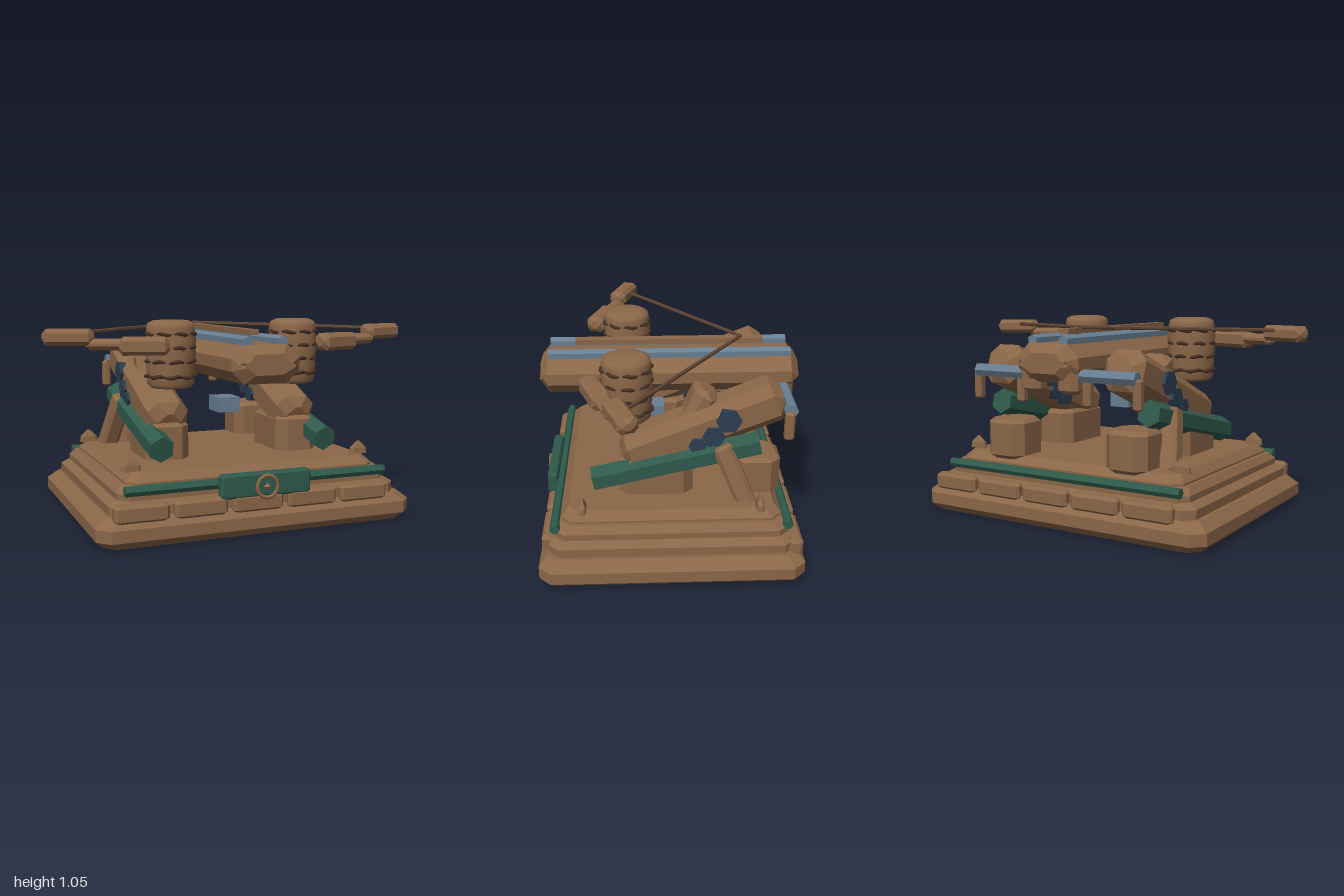
import * as THREE from 'three';

const mat = (name, color) => {
  const m = new THREE.MeshStandardMaterial({ color });
  m.name = name;
  return m;
};

const flat = (g) => {
  const f = g.index ? g.toNonIndexed() : g;
  f.computeVertexNormals();
  return f;
};

// Stack of corner-cut rectangles [y, halfX, halfZ, cut], closed at both ends
function loft(sections) {
  const rings = sections.map(([y, a, b, c]) => [
    [a, -b + c], [a, b - c], [a - c, b], [-a + c, b],
    [-a, b - c], [-a, -b + c], [-a + c, -b], [a - c, -b],
  ].map(([x, z]) => [x, y, z]));
  const pos = [];
  const tri = (...p) => p.forEach((v) => pos.push(...v));
  for (let k = 0; k < rings.length - 1; k++) {
    for (let i = 0; i < 8; i++) {
      const j = (i + 1) % 8, lo = rings[k], hi = rings[k + 1];
      tri(lo[i], hi[i], hi[j]);
      tri(lo[i], hi[j], lo[j]);
    }
  }
  const bottom = rings[0], top = rings[rings.length - 1];
  for (let i = 1; i < 7; i++) {
    tri(bottom[0], bottom[i], bottom[i + 1]);
    tri(top[0], top[i + 1], top[i]);
  }
  const g = new THREE.BufferGeometry();
  g.setAttribute('position', new THREE.Float32BufferAttribute(pos, 3));
  g.computeVertexNormals();
  return g;
}

// Upright block with bevelled ends
const upright = (w, h, d, cut, bevel) => loft([
  [-h / 2, w / 2 - bevel, d / 2 - bevel, cut], [-h / 2 + bevel, w / 2, d / 2, cut],
  [h / 2 - bevel, w / 2, d / 2, cut], [h / 2, w / 2 - bevel, d / 2 - bevel, cut],
]);

// The same block lying along z
const beam = (w, h, len, cut, bevel) => upright(w, len, h, cut, bevel).rotateX(Math.PI / 2);

// Faceted rod along an axis
function rod(r, len, sides, axis) {
  const g = new THREE.CylinderGeometry(r, r, len, sides);
  if (axis === 'x') g.rotateZ(Math.PI / 2);
  if (axis === 'z') g.rotateX(Math.PI / 2);
  return flat(g);
}

export function createModel() {
  const root = new THREE.Group();
  root.name = 'siegeCrossbow';
  const wood = mat('wood', 0x8b6748);
  const green = mat('greenPaint', 0x2f5a4b);
  const steel = mat('steel', 0x687f92);
  const navy = mat('darkIron', 0x2c3f52);
  const rope = mat('darkRope', 0x4a3227);
  const cord = mat('bowCord', 0x5e4532);

  const add = (name, geo, material, x = 0, y = 0, z = 0, parent = root) => {
    const m = new THREE.Mesh(geo, material);
    m.name = name;
    m.position.set(x, y, z);
    parent.add(m);
    return m;
  };
  // Place a y-aligned mesh between two points
  const span = (m, p, q) => {
    const a = new THREE.Vector3(...p), b = new THREE.Vector3(...q);
    m.position.copy(a).add(b).multiplyScalar(0.5);
    m.quaternion.setFromUnitVectors(new THREE.Vector3(0, 1, 0), b.sub(a).normalize());
  };

  // Stepped base
  add('baseTier', loft([[0, 0.80, 0.62, 0.05], [0.04, 0.845, 0.66, 0.06],
    [0.10, 0.845, 0.66, 0.06], [0.145, 0.79, 0.62, 0.05]]), wood, 0, 0, 0.012);
  add('secondTier', loft([[0.10, 0.77, 0.61, 0.05], [0.19, 0.77, 0.61, 0.05],
    [0.215, 0.73, 0.59, 0.05]]), wood, 0, 0, 0.012);
  add('thirdTier', loft([[0.2, 0.725, 0.585, 0.05], [0.245, 0.725, 0.585, 0.05],
    [0.28, 0.695, 0.55, 0.05]]), wood, 0, 0, 0.012);
  add('deck', loft([[0.27, 0.675, 0.55, 0.05], [0.29, 0.675, 0.55, 0.05],
    [0.33, 0.635, 0.515, 0.05]]), wood, 0, 0, 0.012);

  // Bricks and green rails along the front and back
  for (const s of [1, -1]) {
    for (let i = 0; i < 5; i++) {
      add('baseBrick', upright(0.27, 0.09, 0.07, 0.015, 0.015), wood,
        s * (-0.63 + 0.295 * i), 0.165, 0.012 + s * 0.615);
    }
    add('greenRail', rod(0.026, 1.4, 6, 'x'), green, 0, 0.262, 0.012 + s * 0.58);
  }

  // Plaque with a plain ring boss
  add('plaque', beam(0.48, 0.12, 0.055, 0.012, 0.01), green, 0, 0.255, 0.637);
  add('plaqueRing', new THREE.TorusGeometry(0.055, 0.01, 6, 16), wood, 0, 0.245, 0.667);
  add('plaqueBoss', flat(new THREE.OctahedronGeometry(0.02)), wood, 0, 0.245, 0.665);

  // Corner studs
  for (const x of [-0.63, 0.63]) {
    for (const z of [0.455, -0.43]) {
      add('cornerStud', loft([[0, 0.05, 0.018, 0.01], [0.03, 0.045, 0.017, 0.01],
        [0.068, 0.006, 0.003, 0.001]]), wood, x, 0.328, z);
    }
  }

  // Central stock with rails and slider
  add('stock', beam(0.36, 0.19, 1.36, 0.065, 0.045), wood, 0, 0.84, 0);
  add('sliderStrip', new THREE.BoxGeometry(0.05, 0.028, 0.99), wood, 0, 0.987, 0);
  add('stringNock', flat(new THREE.OctahedronGeometry(0.026)), wood, 0, 0.985, -0.38);
  add('crossBlock', new THREE.BoxGeometry(0.12, 0.08, 0.14), steel, 0, 0.585, 0.1);
  add('rearBar', rod(0.035, 0.96, 6, 'x'), steel, 0, 0.782, -0.59);

  // Barrel profile of the rope drums
  const drumProfile = [[0, 0], [0.1, 0], [0.122, 0.02], [0.117, 0.06], [0.128, 0.1], [0.122, 0.135],
    [0.132, 0.17], [0.124, 0.205], [0.132, 0.24], [0.122, 0.275], [0.126, 0.3], [0.118, 0.328],
    [0.09, 0.342], [0, 0.346]].map(([r, y]) => new THREE.Vector2(r, y));

  for (const s of [1, -1]) {
    const side = new THREE.Group();
    side.name = s > 0 ? 'leftSide' : 'rightSide';
    root.add(side);
    const put = (name, geo, material, x, y, z) => add(name, geo, material, s * x, y, z, side);

    put('steelRail', rod(0.03, 1.27, 6, 'z'), steel, 0.092, 0.946, 0);
    put('stockFoot', upright(0.12, 0.17, 0.1, 0.025, 0.02), wood, 0.11, 0.775, -0.6);

    // Frame blocks, sloping arm and its clamp
    put('frontBlock', upright(0.235, 0.21, 0.38, 0.05, 0.02), wood, 0.37, 0.415, 0.085);
    put('rearBlock', upright(0.235, 0.21, 0.24, 0.05, 0.02), wood, 0.37, 0.415, -0.433);
    put('slopingArm', beam(0.22, 0.21, 0.87, 0.05, 0.045), wood, 0.365, 0.668, -0.155).rotation.x = 0.375;
    put('armClamp', upright(0.2, 0.18, 0.13, 0.04, 0.025), wood, 0.325, 0.77, -0.145).rotation.x = -0.45;

    // Green side beam and outer strut
    put('greenBeam', rod(0.068, 0.865, 6, 'z'), green, 0.455, 0.505, -0.018).rotation.x = 0.222;
    span(put('outerStrut', upright(0.1, 0.34, 0.1, 0.02, 0.015), wood, 0, 0, 0),
      [s * 0.54, 0.3, -0.375], [s * 0.475, 0.6, -0.245]);

    // Iron bolts through the arm
    for (const [z, y, r] of [[-0.28, 0.735, 0.065], [-0.205, 0.65, 0.058], [-0.125, 0.6, 0.045]]) {
      put('ironBolt', rod(r, 0.25, 6, 'x'), navy, 0.365, y, z);
    }

    // Hooks on the rear bar
    for (const x of [0.2, 0.48]) {
      put('rearHook', upright(0.045, 0.15, 0.05, 0.01, 0.01), wood, x, 0.705, -0.582);
    }

    // Drum with wavy rope bands
    put('drum', new THREE.LatheGeometry(drumProfile, 24), wood, 0.345, 0.7, 0.225);
    [0.06, 0.135, 0.205, 0.275].forEach((h, k) => {
      const pts = [];
      for (let i = 0; i < 32; i++) {
        const t = (i / 32) * Math.PI * 2;
        const r = 0.12 + 0.009 * Math.sin(8 * t + k);
        pts.push(new THREE.Vector3(r * Math.cos(t), 0.004 * Math.cos(8 * t), r * Math.sin(t)));
      }
      const path = new THREE.CatmullRomCurve3(pts, true);
      put('ropeBand', new THREE.TubeGeometry(path, 64, 0.01, 6, true), rope, 0.345, 0.7 + h, 0.225);
    });

    // Jointed bow arm, from the drum out to the tip
    for (const [x, y, z, w, h, len] of [
      [0.53, 0.925, 0.375, 0.1, 0.09, 0.25],
      [0.69, 0.932, 0.315, 0.085, 0.055, 0.22],
      [0.875, 0.968, 0.25, 0.1, 0.08, 0.25]]) {
      put('bowSegment', beam(w, h, len, 0.02, 0.022), wood, x, y, z).rotation.y = Math.atan2(s, -0.34);
    }

    // Bow string
    const tip = [s * 0.83, 0.985, 0.21], nock = [0, 1.005, -0.38];
    span(put('bowString', rod(0.01, Math.hypot(0.83, 0.02, 0.59), 6), cord, 0, 0, 0), tip, nock);
  }
  return root;
}
